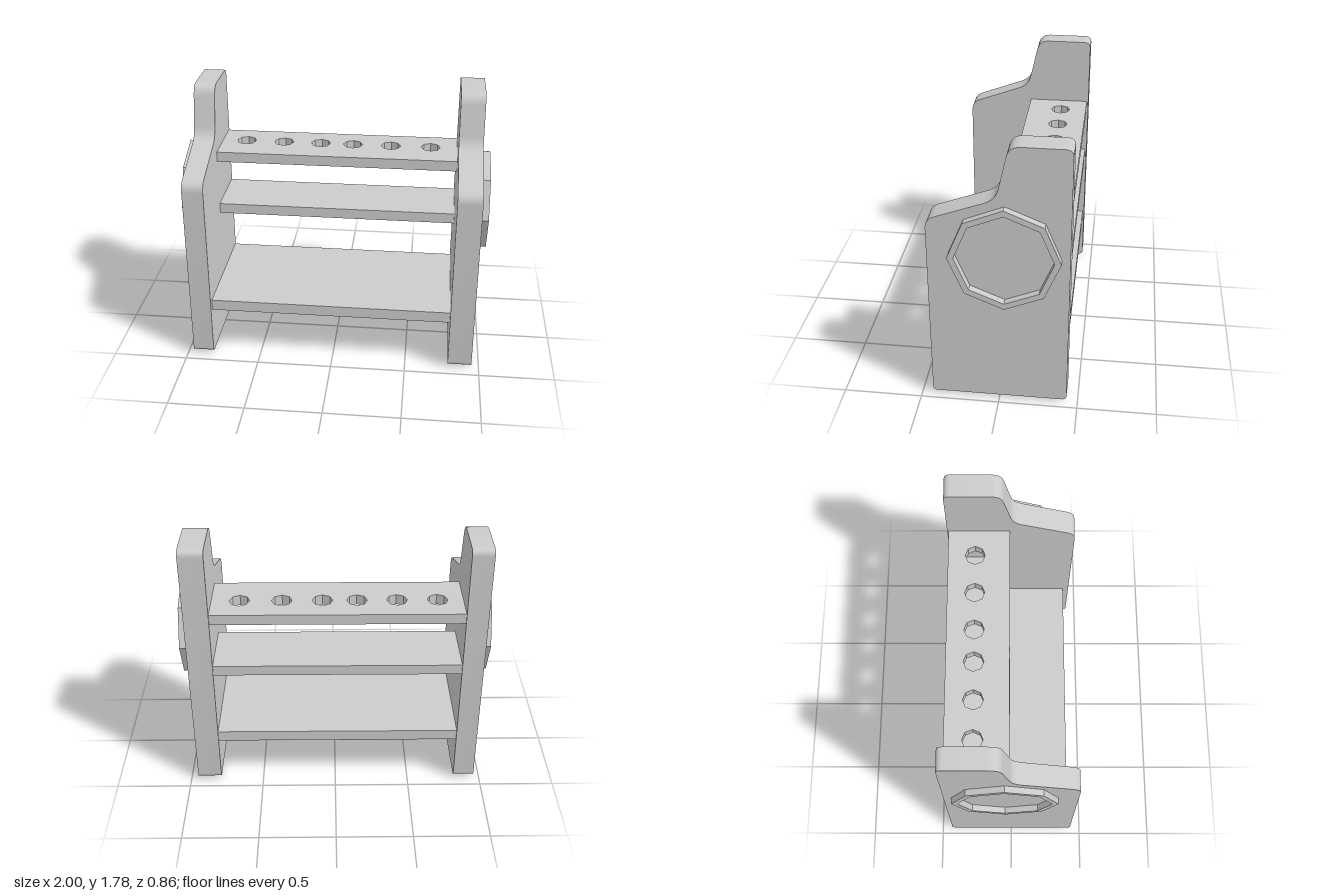
import * as THREE from 'three';
import { toCreasedNormals } from 'three/addons/utils/BufferGeometryUtils.js';

const material = new THREE.MeshStandardMaterial({ color: 0xcccccc });

// Closed outline from [u, v, radius] corners, each rounded by a curve
function roundedShape(corners) {
  const shape = new THREE.Shape();
  const pts = corners.map(([u, v]) => new THREE.Vector2(u, v));
  const n = pts.length;
  pts.forEach((p, i) => {
    const r = corners[i][2];
    const before = pts[(i + n - 1) % n].clone().sub(p).setLength(r).add(p);
    const after = pts[(i + 1) % n].clone().sub(p).setLength(r).add(p);
    if (i === 0) shape.moveTo(before.x, before.y);
    else shape.lineTo(before.x, before.y);
    shape.quadraticCurveTo(p.x, p.y, after.x, after.y);
  });
  shape.closePath();
  return shape;
}

function polygon(cx, cy, radius, sides, PathType) {
  const pts = [];
  for (let i = 0; i < sides; i++) {
    const a = (i / sides) * Math.PI * 2;
    pts.push(new THREE.Vector2(cx + radius * Math.cos(a), cy + radius * Math.sin(a)));
  }
  return new PathType(pts);
}

// Extrude a (z, y) outline across x from x0 to x1
function acrossX(shape, x0, x1) {
  const g = new THREE.ExtrudeGeometry(shape, { depth: x1 - x0, bevelEnabled: false, curveSegments: 8 });
  g.rotateY(-Math.PI / 2).translate(x1, 0, 0);
  return toCreasedNormals(g, 0.5);
}

export function createModel() {
  const group = new THREE.Group();
  const add = (name, geometry) => {
    const mesh = new THREE.Mesh(geometry, material);
    mesh.name = name;
    group.add(mesh);
    return mesh;
  };

  // Stepped end panels
  const panel = roundedShape([
    [-0.43, 0.02, 0.03], [0.43, 0.02, 0.03], [0.43, 1.285, 0.06],
    [0.01, 1.44, 0.07], [-0.065, 1.78, 0.07], [-0.43, 1.78, 0.045],
  ]);
  add('rightPanel', acrossX(panel, -0.96, -0.82));
  add('leftPanel', acrossX(panel, 0.79, 0.95));

  // Raised octagonal rims on the outer faces
  const rim = polygon(-0.04, 1.06, 0.34, 8, THREE.Shape);
  rim.holes.push(polygon(-0.04, 1.06, 0.3, 8, THREE.Path));
  add('rightRim', acrossX(rim, -1, -0.96));
  add('leftRim', acrossX(rim, 0.95, 1));

  // Shelves, the top one pierced by a row of holes
  const shelf = (name, y0, y1, front, holes = []) => {
    const shape = new THREE.Shape([
      new THREE.Vector2(-0.825, -0.42), new THREE.Vector2(0.795, -0.42),
      new THREE.Vector2(0.795, front), new THREE.Vector2(-0.825, front),
    ]);
    holes.forEach((x) => shape.holes.push(polygon(x, -0.24, 0.066, 8, THREE.Path)));
    const g = new THREE.ExtrudeGeometry(shape, { depth: y1 - y0, bevelEnabled: false });
    add(name, g.rotateX(Math.PI / 2).translate(0, y1, 0));
  };
  shelf('topShelf', 1.26, 1.33, -0.01, [-0.655, -0.395, -0.14, 0.08, 0.34, 0.61]);
  shelf('middleShelf', 0.875, 0.945, -0.01);
  shelf('bottomShelf', 0.335, 0.41, 0.39);

  // Small round feet
  for (const x of [-0.9, 0.867]) {
    for (const z of [0.312, -0.325]) {
      add('foot', new THREE.CylinderGeometry(0.05, 0.05, 0.03, 12)).position.set(x, 0.015, z);
    }
  }
  return group;
}
